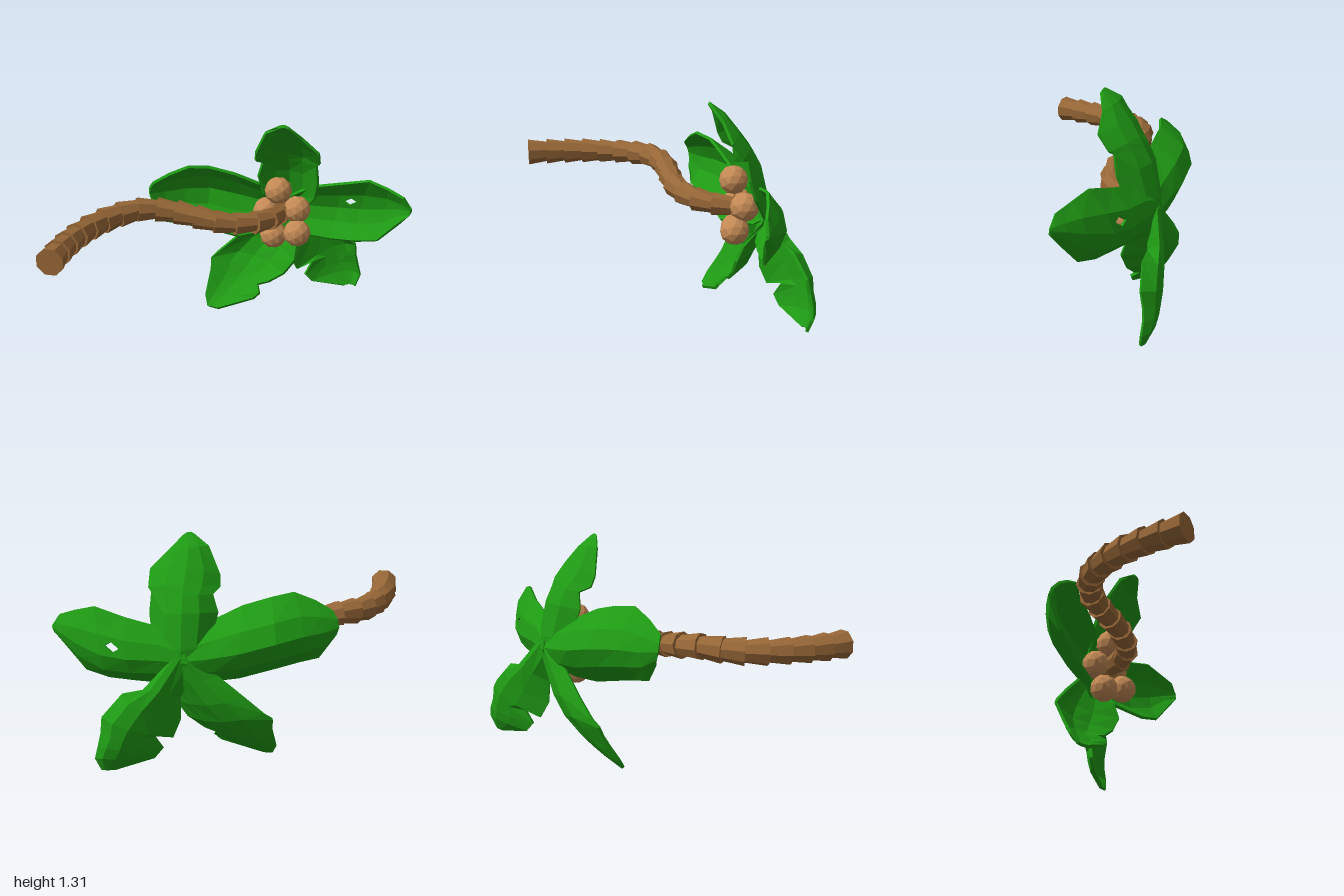
import * as THREE from 'three';

const material = (color) => new THREE.MeshStandardMaterial({ color, flatShading: true });
const V = (p) => new THREE.Vector3(...p);

// Each frond row runs base to tip: one edge, the ridge, the other edge
const upperFrond = [
  [[.13, .63, -.54], [.22, .57, -.58], [.31, .63, -.54]],
  [[.06, .76, -.46], [.22, .72, -.58], [.40, .76, -.46]],
  [[.03, .90, -.42], [.22, .92, -.53], [.42, .88, -.42]],
  [[.06, 1.0, -.41], [.22, 1.01, -.48], [.41, 1.0, -.40]],
  [[.025, 1.03, -.35], [.22, 1.06, -.45], [.43, 1.02, -.38]],
  [[.03, 1.09, -.32], [.21, 1.14, -.39], [.43, 1.11, -.31]],
  [[.10, 1.24, -.27], [.21, 1.24, -.31], [.33, 1.21, -.28]],
  [[.17, 1.28, -.23], [.21, 1.305, -.22], [.25, 1.29, -.23]],
];
const leftFrond = [
  [[.24, .75, -.54], [.18, .65, -.59], [.24, .55, -.54]],
  [[.36, .83, -.49], [.34, .66, -.585], [.36, .49, -.48]],
  [[.55, .87, -.47], [.53, .66, -.585], [.50, .485, -.45]],
  [[.73, .915, -.43], [.68, .67, -.555], [.66, .49, -.43]],
  [[.85, .88, -.40], [.84, .71, -.48], [.80, .52, -.40]],
  [[.95, .84, -.365], [.93, .74, -.42], [.93, .66, -.365]],
  [[.99, .78, -.36], [1.0, .76, -.36], [.99, .73, -.36]],
];
const rightFrond = [
  [[.17, .54, -.52], [.26, .65, -.585], [.13, .79, -.49]],
  [[.05, .50, -.45], [.05, .68, -.575], [.05, .86, -.41]],
  [[-.08, .49, -.37], [-.10, .71, -.57], [-.10, .93, -.37]],
  [[-.30, .55, -.34], [-.30, .76, -.53], [-.26, .975, -.34]],
  [[-.42, .58, -.31], [-.45, .78, -.44], [-.38, .99, -.28]],
  [[-.53, .60, -.28], [-.56, .78, -.36], [-.50, .94, -.26]],
  [[-.59, .70, -.27], [-.64, .79, -.29], [-.60, .88, -.25]],
];
const lowerRightFrond = [
  [[.31, .58, -.53], [.24, .67, -.585], [.14, .64, -.57]],
  [[.30, .45, -.42], [.17, .53, -.58], [.02, .56, -.52]],
  [[.29, .35, -.38], [.08, .40, -.575], [-.12, .44, -.51]],
  [[.22, .25, -.38], [.0, .29, -.545], [-.24, .33, -.49]],
  [[.12, .18, -.38], [-.05, .22, -.50], [-.285, .285, -.47]],
  [[.05, .155, -.38], [-.08, .18, -.475], [-.28, .22, -.44]],
  [[.07, .12, -.33], [-.12, .12, -.425], [-.29, .15, -.40]],
  [[.03, .08, -.32], [-.17, .06, -.37], [-.30, .07, -.35]],
  [[-.20, .0, -.29], [-.24, .0, -.305], [-.275, .005, -.31]],
];
const lowerLeftFrond = [
  [[.32, .62, -.59], [.22, .68, -.585], [.15, .56, -.54]],
  [[.43, .50, -.62], [.33, .51, -.67], [.23, .43, -.53]],
  [[.54, .485, -.65], [.42, .41, -.72], [.23, .30, -.54]],
  [[.65, .36, -.70], [.49, .31, -.75], [.27, .20, -.58]],
  [[.655, .27, -.72], [.52, .25, -.755], [.36, .23, -.64]],
  [[.67, .20, -.73], [.54, .19, -.755], [.32, .15, -.61]],
  [[.69, .12, -.73], [.57, .13, -.75], [.37, .09, -.63]],
  [[.66, .04, -.71], [.62, .045, -.72], [.58, .04, -.70]],
];

// Arched leaf shell with thickness; hole = [row, column] of a pierced cell
function frondGeometry(rows, hole) {
  const cols = 4, thickness = 0.018, last = rows.length - 1;
  const outer = rows.map(([a, r, b]) => {
    const A = V(a), R = V(r), B = V(b);
    const side = B.clone().sub(A).multiplyScalar(0.5);
    const droop = A.clone().add(B).multiplyScalar(0.5).sub(R);
    return Array.from({ length: cols + 1 }, (_, j) => {
      const u = (2 * j) / cols - 1;
      return R.clone().addScaledVector(side, u).addScaledVector(droop, u * u);
    });
  });
  const inner = outer.map((row, i) => row.map((p, j) => {
    const along = outer[Math.min(i + 1, last)][j].clone().sub(outer[Math.max(i - 1, 0)][j]);
    const across = row[Math.min(j + 1, cols)].clone().sub(row[Math.max(j - 1, 0)]);
    return p.clone().addScaledVector(along.cross(across).normalize(), -thickness);
  }));

  const pos = [];
  const tri = (...points) => points.forEach((p) => pos.push(p.x, p.y, p.z));
  const quad = (a, b, c, d) => tri(a, b, c, a, c, d);
  const corners = (g, i, j) => [g[i][j], g[i + 1][j], g[i + 1][j + 1], g[i][j + 1]];
  const shrink = (c) => {
    const mid = c.reduce((s, p) => s.add(p), new THREE.Vector3()).multiplyScalar(0.25);
    return c.map((p, k) => p.clone().add(c[(k + 1) % 4]).multiplyScalar(0.5).lerp(mid, 0.45));
  };
  for (let i = 0; i < last; i++) {
    for (let j = 0; j < cols; j++) {
      const o = corners(outer, i, j), n = corners(inner, i, j);
      if (hole && hole[0] === i && hole[1] === j) {
        // diamond opening with its own walls
        const ho = shrink(o), hn = shrink(n);
        for (let k = 0; k < 4; k++) {
          const m = (k + 1) % 4, q = (k + 3) % 4;
          tri(o[k], ho[k], ho[q]);
          tri(o[k], o[m], ho[k]);
          tri(n[k], hn[q], hn[k]);
          tri(n[k], hn[k], n[m]);
          quad(ho[k], ho[m], hn[m], hn[k]);
        }
      } else {
        quad(...o);
        quad(n[0], n[3], n[2], n[1]);
      }
    }
    // long rims
    quad(outer[i][0], inner[i][0], inner[i + 1][0], outer[i + 1][0]);
    quad(outer[i][cols], outer[i + 1][cols], inner[i + 1][cols], inner[i][cols]);
  }
  for (let j = 0; j < cols; j++) {
    // base and tip rims
    quad(outer[0][j], outer[0][j + 1], inner[0][j + 1], inner[0][j]);
    quad(outer[last][j], inner[last][j], inner[last][j + 1], outer[last][j + 1]);
  }
  const geometry = new THREE.BufferGeometry();
  geometry.setAttribute('position', new THREE.Float32BufferAttribute(pos, 3));
  geometry.computeVertexNormals();
  return geometry;
}

export function createModel() {
  const model = new THREE.Group();
  model.name = 'palmTree';
  const bark = material(0x976737), leaf = material(0x1f9a14), shell = material(0xc48a55);
  leaf.side = THREE.DoubleSide;

  // Trunk: stacked tapering collars along a bent path
  const path = new THREE.CatmullRomCurve3([
    [-.92, .765, .743], [-.91, .765, .52], [-.855, .77, .28], [-.765, .775, .11],
    [-.64, .785, -.01], [-.5, .77, -.075], [-.35, .745, -.09], [-.2, .715, -.09],
    [-.06, .69, -.125], [.06, .68, -.19], [.14, .67, -.29], [.21, .66, -.5],
  ].map(V));
  const trunk = new THREE.Group();
  trunk.name = 'trunk';
  const count = 16, points = path.getSpacedPoints(count);
  for (let i = 0; i < count; i++) {
    const axis = points[i + 1].clone().sub(points[i]);
    const length = axis.length(), r = 0.083 - 0.013 * (i / count);
    const collar = new THREE.Mesh(
      new THREE.CylinderGeometry(r * 0.76, r, length + 0.015, 8).rotateY(Math.PI / 8), bark);
    collar.name = 'trunkCollar';
    collar.position.copy(points[i]).addScaledVector(axis, 0.5);
    collar.quaternion.setFromUnitVectors(new THREE.Vector3(0, 1, 0), axis.normalize());
    trunk.add(collar);
  }
  model.add(trunk);

  // Fronds
  const fronds = { upperFrond, leftFrond, rightFrond, lowerRightFrond, lowerLeftFrond };
  for (const [name, rows] of Object.entries(fronds)) {
    const mesh = new THREE.Mesh(frondGeometry(rows, name === 'leftFrond' ? [2, 1] : null), leaf);
    mesh.name = name;
    model.add(mesh);
  }

  // Coconuts clustered around the crown
  const coconuts = new THREE.Group();
  coconuts.name = 'coconuts';
  for (const p of [[.17, .825, -.38], [.285, .69, -.42], [.295, .555, -.36], [.14, .515, -.40], [.09, .665, -.43]]) {
    const nut = new THREE.Mesh(new THREE.IcosahedronGeometry(0.087, 1), shell);
    nut.name = 'coconut';
    nut.position.set(...p);
    coconuts.add(nut);
  }
  model.add(coconuts);
  return model;
}
